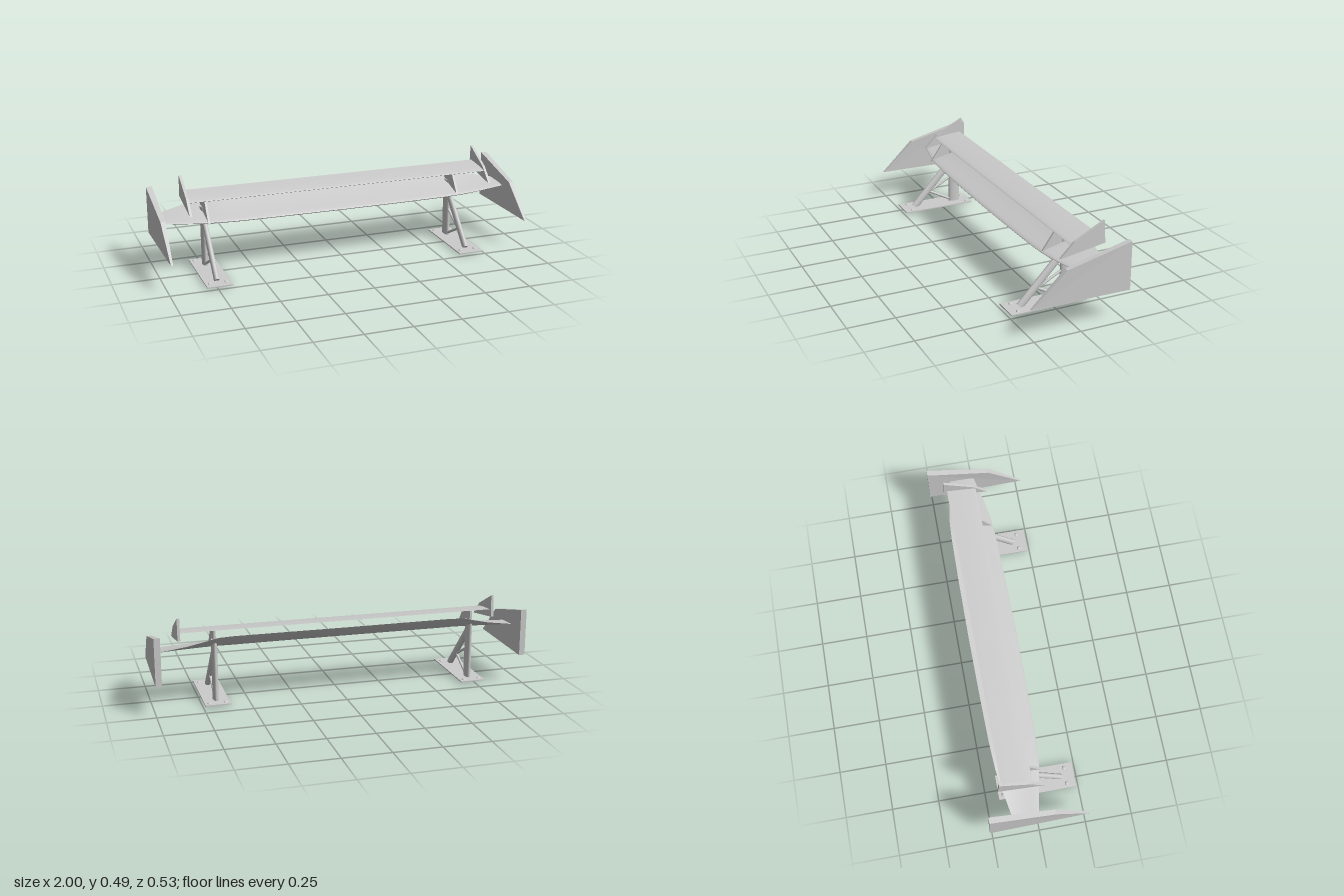
import * as THREE from 'three';

const mat = new THREE.MeshStandardMaterial({ color: 0xcccccc, side: THREE.DoubleSide });

function add(parent, name, geo) {
  const m = new THREE.Mesh(geo, mat);
  m.name = name;
  parent.add(m);
  return m;
}

// Flat plate from a (z, y) outline, centred on x = 0
function plate(points, thickness) {
  const shape = new THREE.Shape(points.map(([z, y]) => new THREE.Vector2(z, y)));
  const g = new THREE.ExtrudeGeometry(shape, { depth: thickness, bevelEnabled: false });
  return g.translate(0, 0, -thickness / 2).rotateY(-Math.PI / 2);
}

// Wing lofted through stations [x, zFront, zBack, yFront, yBack, thickness]
function wing(stations, camber) {
  const N = 14, pos = [], idx = [], row = 2 * (N + 1);
  for (const [x, zf, zb, yf, yb, th] of stations) {
    for (let j = 0; j < row; j++) {
      const upper = j <= N;
      const s = upper ? j / N : (row - 1 - j) / N;
      const t = s * s * (3 - 2 * s);
      const half = th * 1.3 * Math.sqrt(t) * (1 - t);
      const y = yf + (yb - yf) * Math.pow(t, camber) + (upper ? half : -half);
      pos.push(x, y, zf + (zb - zf) * t);
    }
  }
  for (let i = 0; i < stations.length - 1; i++) {
    for (let j = 0; j < row - 1; j++) {
      if (j === N) continue;
      const a = i * row + j, c = a + row;
      idx.push(a, c, a + 1, a + 1, c, c + 1);
    }
  }
  const g = new THREE.BufferGeometry();
  g.setAttribute('position', new THREE.Float32BufferAttribute(pos, 3));
  g.setIndex(idx);
  g.computeVertexNormals();
  return g;
}

// Half a wing's stations mirrored to the full span
const mirrored = (half) => [
  ...half.slice().reverse().map(([x, ...r]) => [-x, ...r]),
  ...half.filter(([x]) => x > 0),
];

// Tube with an oval section between two (z, y) points
function strut(parent, name, [z0, y0], [z1, y1], rx, rz) {
  const len = Math.hypot(z1 - z0, y1 - y0);
  const m = add(parent, name, new THREE.CylinderGeometry(1, 1, len, 24).scale(rx, 1, rz));
  m.position.set(0, (y0 + y1) / 2, (z0 + z1) / 2);
  m.rotation.x = Math.atan2(z1 - z0, y1 - y0);
}

function createSupport() {
  const g = new THREE.Group();
  add(g, 'basePlate', new THREE.BoxGeometry(0.135, 0.006, 0.42)).position.set(0, 0.003, 0.03);
  for (const x of [-0.043, 0.043]) {
    for (const z of [0.193, -0.153]) {
      const bolt = add(g, 'boltHead', new THREE.SphereGeometry(0.011, 16, 6, 0, Math.PI * 2, 0, Math.PI / 2));
      bolt.scale.y = 0.75;
      bolt.position.set(x, 0.005, z);
    }
  }
  strut(g, 'rearPost', [-0.092, 0.006], [-0.094, 0.33], 0.015, 0.034);
  strut(g, 'diagonalStrut', [0.163, 0.006], [-0.09, 0.275], 0.014, 0.021);
  strut(g, 'lowerBrace', [0.065, 0.086], [-0.07, 0.015], 0.007, 0.007);
  strut(g, 'upperBrace', [0.055, 0.093], [-0.07, 0.16], 0.007, 0.007);
  // Fin that carries the upper wing above the main wing
  add(g, 'wingBracket', plate([[0.05, 0.275], [-0.02, 0.375], [-0.12, 0.385], [-0.12, 0.31]], 0.012));
  return g;
}

export function createModel() {
  const model = new THREE.Group();
  model.name = 'rearWing';

  // Main wing, swept and lowered towards the tips
  add(model, 'mainWing', wing(mirrored([
    [0, 0.063, -0.198, 0.277, 0.372, 0.03],
    [0.35, 0.06, -0.196, 0.277, 0.372, 0.03],
    [0.58, 0.055, -0.192, 0.277, 0.371, 0.03],
    [0.66, 0.051, -0.188, 0.278, 0.367, 0.028],
    [0.72, 0.045, -0.184, 0.279, 0.353, 0.026],
    [0.82, 0.027, -0.168, 0.28, 0.327, 0.02],
    [0.985, -0.008, -0.138, 0.284, 0.296, 0.014],
  ]), 1.8));

  // Upper wing between the small fins
  const upper = add(model, 'upperWing', wing([-0.847, -0.4, 0, 0.4, 0.847].map(
    (x) => [x, -0.012, -0.172, 0.379, 0.402, 0.014]), 1.3));
  upper.position.x = 0.017;

  // End plates, thinning towards the front tip
  const endOutline = [[0.263, 0.157], [0.08, 0.327], [-0.263, 0.411], [-0.263, 0.157]];
  for (const side of [-1, 1]) {
    const g = plate(endOutline, 0.032);
    const p = g.attributes.position;
    for (let i = 0; i < p.count; i++) {
      const z = p.getZ(i);
      if (z > 0) p.setX(i, p.getX(i) * (1 - 0.65 * z / 0.263));
    }
    g.computeVertexNormals();
    add(model, side > 0 ? 'leftEndPlate' : 'rightEndPlate', g).position.x = side * 0.984;
  }

  // Small fins at the ends of the upper wing
  const finOutline = [[0.05, 0.325], [-0.025, 0.4], [-0.185, 0.483], [-0.192, 0.365]];
  add(model, 'rightFin', plate(finOutline, 0.014)).position.x = -0.832;
  add(model, 'leftFin', plate(finOutline, 0.014)).position.x = 0.865;

  // Two mounting supports
  for (const [name, x] of [['rightSupport', -0.738], ['leftSupport', 0.672]]) {
    const s = createSupport();
    s.name = name;
    s.position.x = x;
    model.add(s);
  }
  return model;
}
